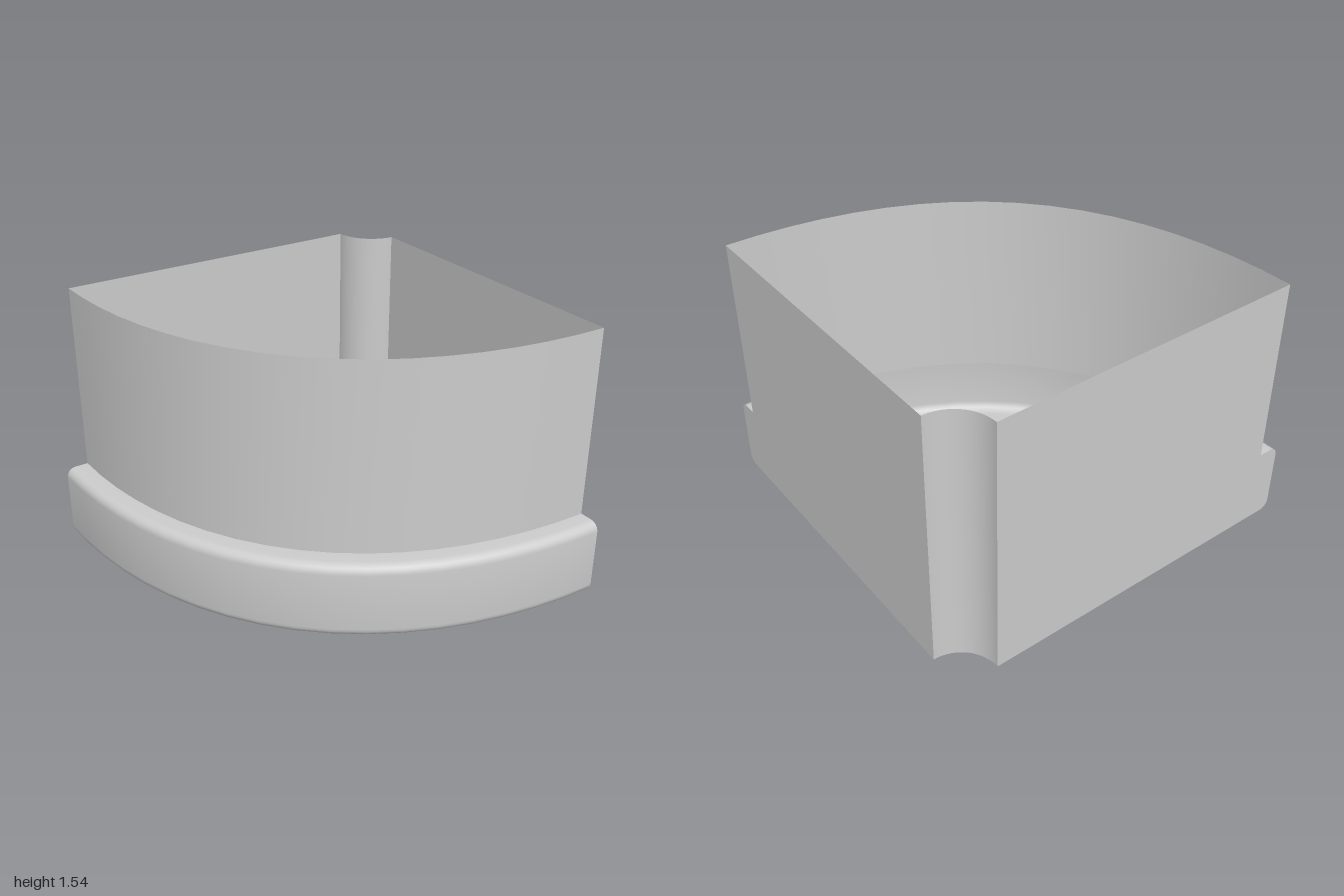
import * as THREE from 'three';
import { toCreasedNormals } from 'three/addons/utils/BufferGeometryUtils.js';

const NOTCH = 0.21, BODY = 1.88, RIM = 2, ROUND = 0.05;
const FLOOR = 0.12, LEDGE = 0.53, TOP = 1.54;

const material = new THREE.MeshStandardMaterial({ color: 0xcccccc, side: THREE.DoubleSide });

function addMesh(group, name, geometry) {
  const mesh = new THREE.Mesh(geometry, material);
  mesh.name = name;
  group.add(mesh);
  return mesh;
}

// Bowed quarter outline of unit radius, measured from the back right corner (u to -x, v to +z)
const bow = new THREE.CubicBezierCurve(
  new THREE.Vector2(1, 0), new THREE.Vector2(1, 0.625),
  new THREE.Vector2(0.625, 1), new THREE.Vector2(0, 1)
).getSpacedPoints(18);

// Rim and body section as (radius, height), from the floor upwards
function sectionProfile() {
  const points = [];
  const corner = (cy, start) => {
    for (let i = 0; i <= 6; i++) {
      const a = start + (i / 6) * Math.PI / 2;
      points.push(new THREE.Vector2(RIM - ROUND + ROUND * Math.cos(a), cy + ROUND * Math.sin(a)));
    }
  };
  corner(FLOOR + ROUND, -Math.PI / 2);
  corner(LEDGE - ROUND, 0);
  points.push(new THREE.Vector2(BODY, LEDGE), new THREE.Vector2(BODY, TOP));
  return points;
}

// Sweep the section along the bowed outline
function sweep(profile) {
  const positions = [], index = [], n = bow.length;
  for (const p of profile)
    for (const b of bow) positions.push(1 - p.x * b.x, p.y, -1 + p.x * b.y);
  for (let j = 0; j < profile.length - 1; j++)
    for (let i = 0; i < n - 1; i++) {
      const a = j * n + i;
      index.push(a, a + 1, a + n + 1, a, a + n + 1, a + n);
    }
  const geometry = new THREE.BufferGeometry();
  geometry.setAttribute('position', new THREE.Float32BufferAttribute(positions, 3));
  geometry.setIndex(index);
  return toCreasedNormals(geometry, 0.6);
}

export function createModel() {
  const group = new THREE.Group();
  const profile = sectionProfile();

  // Bowed front with rounded plinth rim, open on top
  addMesh(group, 'bowedFront', sweep(profile));

  // Two flat walls meeting at the back right corner, with the rim's outline at their ends
  const wallShape = new THREE.Shape([
    new THREE.Vector2(NOTCH, FLOOR), ...profile, new THREE.Vector2(NOTCH, TOP)
  ]);
  const back = addMesh(group, 'backWall', new THREE.ShapeGeometry(wallShape));
  back.rotation.y = Math.PI;
  back.position.set(1, 0, -1);
  const side = addMesh(group, 'sideWall', new THREE.ShapeGeometry(wallShape).scale(-1, 1, 1));
  const sideIndex = side.geometry.index.array;
  for (let i = 0; i < sideIndex.length; i += 3)
    [sideIndex[i], sideIndex[i + 1]] = [sideIndex[i + 1], sideIndex[i]];
  side.rotation.y = Math.PI / 2;
  side.position.set(1, 0, -1);

  // Concave channel in the corner
  const channel = addMesh(group, 'cornerChannel',
    new THREE.CylinderGeometry(NOTCH, NOTCH, TOP - FLOOR, 16, 1, true, -Math.PI / 2, Math.PI / 2));
  channel.position.set(1, (TOP + FLOOR) / 2, -1);

  // Floor: bowed edge closed by the channel's arc
  const outline = bow.map(b => new THREE.Vector2(1 - b.x * (RIM - ROUND), -1 + b.y * (RIM - ROUND)));
  for (let i = 0; i <= 16; i++) {
    const a = (i / 16) * Math.PI / 2;
    outline.push(new THREE.Vector2(1 - NOTCH * Math.sin(a), -1 + NOTCH * Math.cos(a)));
  }
  const floor = addMesh(group, 'floor', new THREE.ShapeGeometry(new THREE.Shape(outline)));
  floor.rotation.x = Math.PI / 2;
  floor.position.y = FLOOR;

  // Foot: domed button inside a raised ring
  const footProfile = [];
  for (let i = 0; i <= 10; i++) {
    const t = i / 10;
    footProfile.push(new THREE.Vector2(0.235 * t, 0.075 * Math.pow(t, 2.5)));
  }
  for (const [r, y] of [[0.235, 0.1], [0.285, 0.1], [0.285, 0.075], [0.335, 0.075], [0.335, FLOOR]])
    footProfile.push(new THREE.Vector2(r, y));
  const foot = addMesh(group, 'foot', toCreasedNormals(new THREE.LatheGeometry(footProfile, 40), 0.6));
  foot.position.set(0.12, 0, -0.16);

  return group;
}
